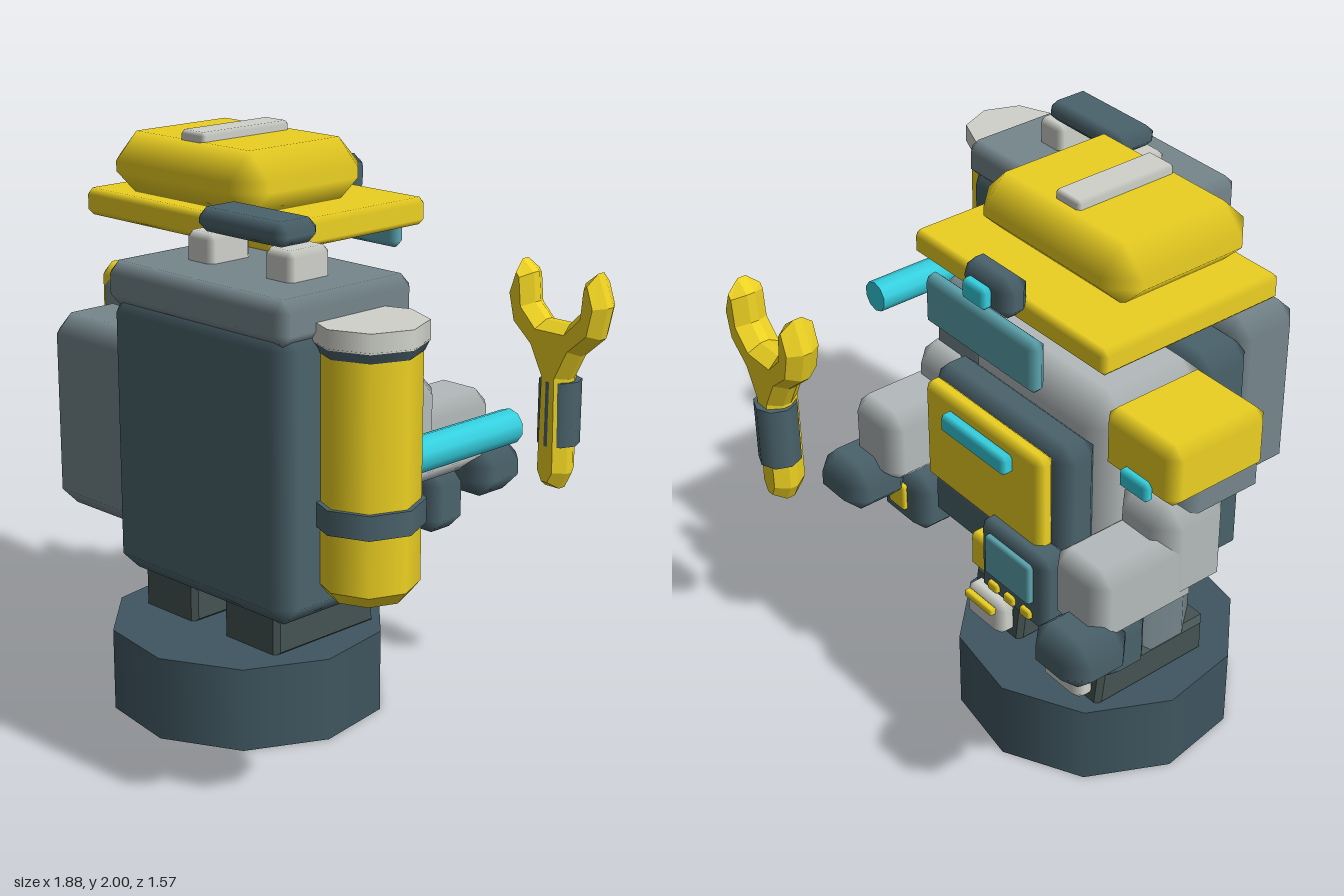
import * as THREE from 'three';
import { ConvexGeometry } from 'three/addons/geometries/ConvexGeometry.js';

const paint = (color) => new THREE.MeshStandardMaterial({ color });
const yellow = paint(0xecd022), slate = paint(0x4a626b), steel = paint(0x75868c);
const pale = paint(0xb4babb), white = paint(0xcfd1ca), cyan = paint(0x35cfdf);
const glass = paint(0x5ba3ad), rubber = paint(0x455352), baseColor = paint(0x3f5660);

const CX = -0.255; // the figure's own mirror plane; its gear hangs to one side

// Box with 45 degree chamfers: flat main faces, softly shaded bevels
function chamferBox(w, h, d, c) {
  const half = [w / 2, h / 2, d / 2];
  const points = [];
  for (let axis = 0; axis < 3; axis++)
    for (const sx of [-1, 1]) for (const sy of [-1, 1]) for (const sz of [-1, 1]) {
      const p = [sx, sy, sz].map((s, i) => s * (half[i] - (i === axis ? 0 : c)));
      points.push(new THREE.Vector3(...p));
    }
  const geo = new ConvexGeometry(points);
  const pos = geo.attributes.position, nor = geo.attributes.normal;
  for (let i = 0; i < pos.count; i++) {
    const p = [pos.getX(i), pos.getY(i), pos.getZ(i)];
    nor.setXYZ(i, ...p.map((v, k) => (Math.abs(v) > half[k] - c * 0.5 ? Math.sign(v) : 0)));
  }
  return geo;
}

export function createModel() {
  const model = new THREE.Group();
  model.name = 'repairRobot';

  const add = (name, geometry, material, x = 0, y = 0, z = 0) => {
    const mesh = new THREE.Mesh(geometry, material);
    mesh.name = name;
    mesh.position.set(x, y, z);
    model.add(mesh);
    return mesh;
  };
  // Box given by its limits on each axis
  const box = (name, mat, [x0, x1], [y0, y1], [z0, z1], c = 0.02) => {
    const w = x1 - x0, h = y1 - y0, d = z1 - z0;
    const chamfer = Math.min(c, Math.min(w, h, d) * 0.42);
    return add(name, chamferBox(w, h, d, chamfer), mat, (x0 + x1) / 2, (y0 + y1) / 2, (z0 + z1) / 2);
  };
  // The same box on both sides of the figure
  const pair = (name, mat, [x0, x1], y, z, c) => {
    box(name + 'Right', mat, [x0, x1], y, z, c);
    box(name + 'Left', mat, [2 * CX - x1, 2 * CX - x0], y, z, c);
  };
  const drum = (name, mat, rTop, rBottom, y0, y1, x, z, sides = 8) =>
    add(name, new THREE.CylinderGeometry(rTop, rBottom, y1 - y0, sides), mat, x, (y0 + y1) / 2, z);

  // Stand
  const stand = drum('stand', baseColor, 0.48, 0.48, 0, 0.29, CX, 0.055, 10);
  stand.rotation.y = Math.PI / 20;

  // Legs and boots
  const bootProfile = new THREE.Shape([
    [0.24, 0.28], [0.24, 0.42], [-0.04, 0.42], [-0.1, 0.48], [-0.16, 0.48], [-0.21, 0.44], [-0.23, 0.28],
  ].map(([z, y]) => new THREE.Vector2(z, y)));
  const bootGeo = new THREE.ExtrudeGeometry(bootProfile, {
    depth: 0.23, bevelEnabled: true, bevelThickness: 0.018, bevelSize: 0.018, bevelOffset: -0.018, bevelSegments: 1,
  });
  bootGeo.translate(0, 0, -0.115).rotateY(-Math.PI / 2);
  for (const [side, x] of [['Right', -0.46], ['Left', -0.05]]) {
    const leg = drum('leg' + side, steel, 0.141, 0.141, 0.4, 0.82, x, 0.07, 8);
    leg.rotation.y = Math.PI / 8;
    leg.geometry.rotateY(Math.PI / 8);
    leg.rotation.y = 0;
    leg.scale.set(1.01, 1, 1.26);
    add('boot' + side, bootGeo, rubber, x);
    box('toeCap' + side, white, [x - 0.1, x + 0.1], [0.3, 0.44], [-0.285, -0.2], 0.03);
    box('toeStripe' + side, yellow, [x - 0.075, x + 0.075], [0.395, 0.425], [-0.305, -0.275], 0.008);
    box('kneePad' + side, white, [x - 0.1, x + 0.1], [0.65, 0.83], [-0.17, -0.06], 0.04);
  }

  // Torso, chest and belt
  box('torso', pale, [-0.61, 0.1], [0.69, 1.46], [-0.24, 0.25], 0.1);
  box('chestPlate', slate, [-0.59, 0.08], [0.9, 1.36], [-0.38, -0.22], 0.05);
  box('chestPanel', yellow, [-0.545, 0.035], [0.97, 1.34], [-0.435, -0.365], 0.025);
  box('chestLight', cyan, [-0.42, -0.1], [1.23, 1.3], [-0.475, -0.425], 0.015);
  box('belt', slate, [-0.61, 0.1], [0.75, 0.96], [-0.38, 0.1], 0.05);
  box('buckle', yellow, [-0.33, -0.18], [0.73, 0.87], [-0.43, -0.36], 0.02);
  pair('hipPouch', slate, [-0.85, -0.6], [0.65, 0.87], [-0.42, -0.23], 0.05);
  pair('pouchTab', yellow, [-0.77, -0.68], [0.73, 0.83], [-0.435, -0.405], 0.01);
  pair('sideCase', slate, [-0.76, -0.56], [0.83, 1.12], [-0.04, 0.23], 0.05);

  // Control unit on the belt
  box('controlUnit', slate, [-0.625, -0.295], [0.74, 1.02], [-0.48, -0.36], 0.03);
  box('controlScreen', glass, [-0.57, -0.35], [0.84, 0.99], [-0.5, -0.47], 0.01);
  for (let i = 0; i < 3; i++) {
    const x = -0.54 + i * 0.08;
    box('controlButton' + i, yellow, [x - 0.025, x + 0.025], [0.775, 0.81], [-0.495, -0.47], 0.008);
  }

  // Arms
  pair('shoulder', steel, [-0.885, -0.555], [1.13, 1.46], [-0.17, 0.2], 0.07);
  box('shoulderPad', yellow, [-0.888, -0.56], [1.24, 1.463], [-0.215, 0.18], 0.04);
  box('shoulderLight', cyan, [-0.8, -0.67], [1.24, 1.31], [-0.24, -0.2], 0.015);
  pair('upperArm', pale, [-0.895, -0.63], [0.87, 1.24], [-0.24, 0.05], 0.07);
  pair('forearm', pale, [-0.89, -0.65], [0.86, 1.13], [-0.49, -0.08], 0.05);
  pair('hand', slate, [-0.94, -0.69], [0.76, 0.94], [-0.62, -0.37], 0.065);

  // Hard hat, visor and lamp
  box('hatBrim', yellow, [-0.71, 0.2], [1.68, 1.77], [-0.335, 0.36], 0.02);
  box('hatDome', yellow, [-0.62, 0.1], [1.76, 1.97], [-0.2, 0.365], 0.09);
  box('hatRidge', white, [-0.315, -0.2], [1.95, 2], [-0.1, 0.28], 0.012);
  box('visor', glass, [-0.52, 0.01], [1.56, 1.74], [-0.44, -0.38], 0.024);
  box('lamp', slate, [-0.37, -0.14], [1.72, 1.86], [-0.42, -0.31], 0.04);
  box('lampLens', cyan, [-0.31, -0.2], [1.755, 1.83], [-0.455, -0.41], 0.015);

  // Back unit and large tool case
  box('backPlate', slate, [-0.53, 0.05], [0.82, 1.4], [0.22, 0.47], 0.06);
  box('backUnit', steel, [-0.5, 0.02], [0.8, 1.44], [0.41, 0.7], 0.06);
  box('toolCase', slate, [-0.09, 0.69], [0.71, 1.6], [0.24, 0.785], 0.06);
  box('toolCaseLid', steel, [-0.09, 0.69], [1.555, 1.69], [0.24, 0.785], 0.035);
  box('casePanel', yellow, [0.14, 0.54], [1.06, 1.46], [0.19, 0.25], 0.02);
  box('caseLight', cyan, [0.3, 0.42], [1.23, 1.29], [0.16, 0.2], 0.015);
  for (const x of [0.13, 0.47])
    box('handlePost', white, [x - 0.06, x + 0.06], [1.67, 1.78], [0.43, 0.6], 0.02);
  box('handleBar', slate, [0.11, 0.49], [1.78, 1.855], [0.43, 0.6], 0.03);

  // Gas tank with torch
  drum('tankTip', yellow, 0.153, 0.12, 0.79, 0.83, 0.765, 0.515);
  drum('tank', yellow, 0.153, 0.153, 0.83, 1.55, 0.765, 0.515);
  drum('tankBand', slate, 0.168, 0.168, 1.01, 1.085, 0.765, 0.515);
  drum('tankCollar', slate, 0.172, 0.155, 1.525, 1.56, 0.765, 0.515);
  drum('tankCap', white, 0.17, 0.172, 1.555, 1.615, 0.765, 0.515);
  const torch = drum('torch', cyan, 0.056, 0.056, 0, 0.5, 0.76, 0.14, 10);
  torch.position.y = 1.165;
  torch.rotation.x = Math.PI / 2;

  // Wrench floating in front of the left hand
  const rightHalf = [
    [0.03, 0.76], [0.06, 0.82], [0.055, 1.15], [0.1, 1.24], [0.18, 1.31], [0.205, 1.42],
    [0.16, 1.53], [0.11, 1.49], [0.1, 1.39], [0.05, 1.34],
  ];
  const outline = [...rightHalf, ...rightHalf.map(([x, y]) => [-x, y]).reverse()];
  const wrenchGeo = new THREE.ExtrudeGeometry(
    new THREE.Shape(outline.map(([x, y]) => new THREE.Vector2(x, y))), {
      depth: 0.03, bevelEnabled: true, bevelThickness: 0.045, bevelSize: 0.028, bevelOffset: -0.028, bevelSegments: 1,
    });
  add('wrench', wrenchGeo, yellow, 0.475, 0, -0.715);
  drum('wrenchGrip', slate, 0.073, 0.073, 0.915, 1.14, 0.475, -0.71);

  return model;
}
